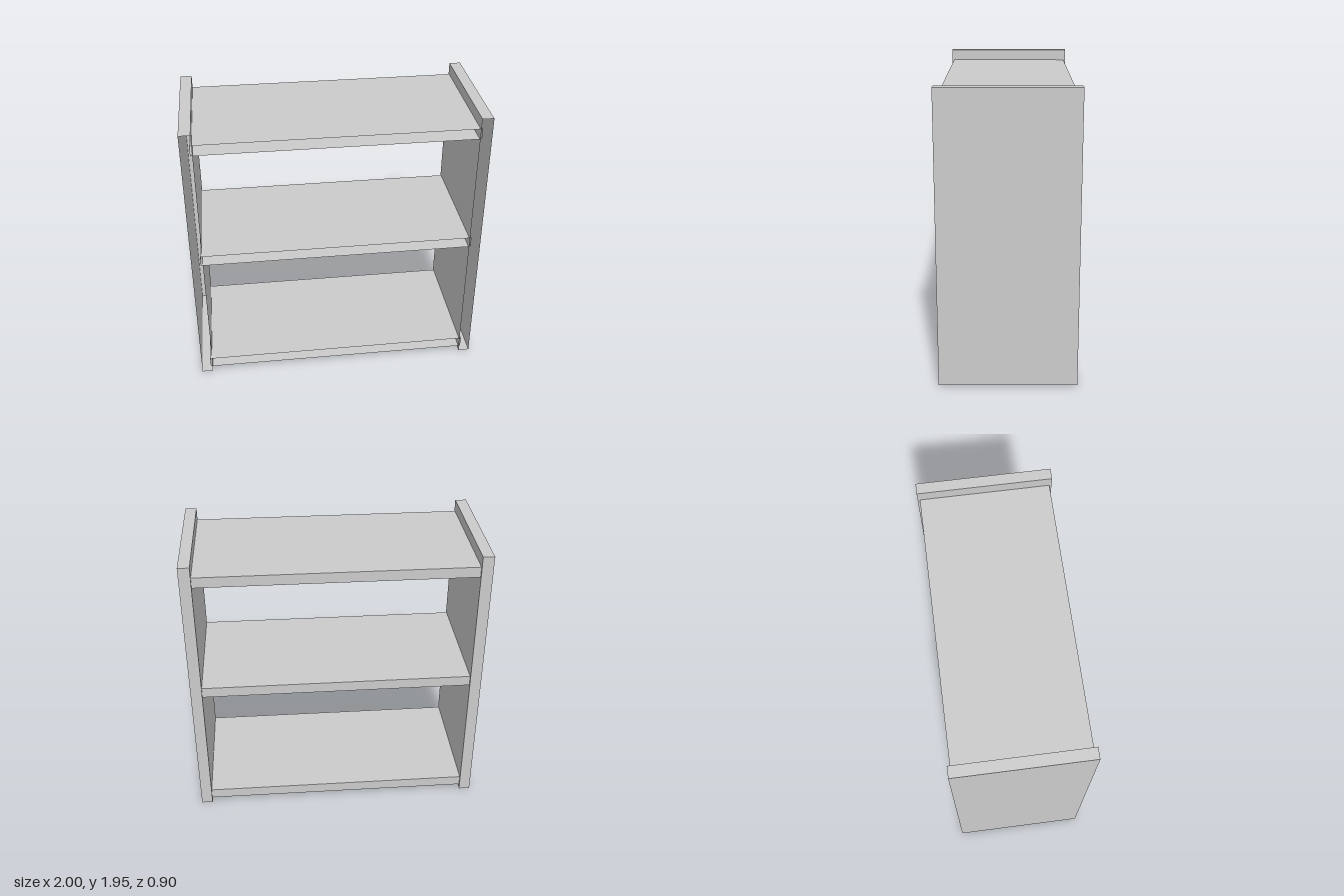
import * as THREE from 'three';

const material = new THREE.MeshStandardMaterial({ color: 0xcccccc, flatShading: true, side: THREE.DoubleSide });

// Hollow board: a box without its front (+z) face
function board(name, width, height, depth, x, y) {
  const geometry = new THREE.BoxGeometry(width, height, depth);
  const index = Array.from(geometry.index.array);
  index.splice(24, 6);
  geometry.setIndex(index);
  geometry.clearGroups();
  const mesh = new THREE.Mesh(geometry, material);
  mesh.name = name;
  mesh.position.set(x, y, 0);
  return mesh;
}

export function createModel() {
  const group = new THREE.Group();
  group.name = 'bookshelf';

  // Upright side panels
  const height = 1.945, thickness = 0.077;
  for (const [name, side] of [['leftPanel', 1], ['rightPanel', -1]]) {
    group.add(board(name, thickness, height, 0.902, side * (1 - thickness / 2), height / 2));
  }

  // Shelves, with their ends let into the panels
  for (const [name, y] of [['bottomShelf', 0.067], ['middleShelf', 0.981], ['topShelf', 1.83]]) {
    group.add(board(name, 1.875, 0.073, 0.872, 0, y));
  }
  return group;
}
